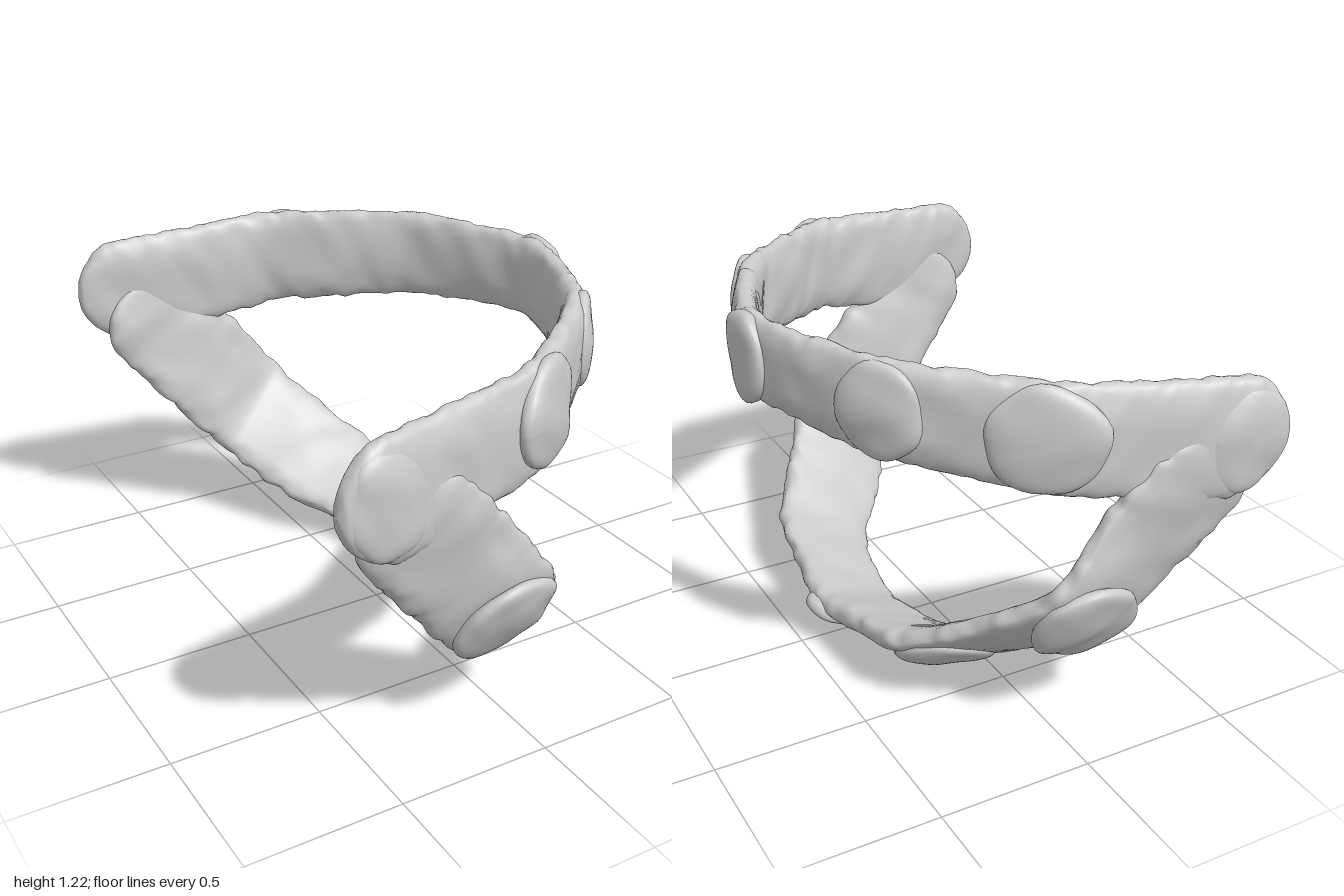
import * as THREE from 'three';

const V = (a) => new THREE.Vector3(...a);
const material = new THREE.MeshStandardMaterial({ color: 0xcccccc, side: THREE.DoubleSide });

// Gentle hand-moulded unevenness, -1..1
const lump = (p) =>
  (Math.sin(p.x * 23 + 2 * Math.sin(p.y * 19)) + Math.sin(p.y * 27 + 2 * Math.sin(p.z * 17 + 1)) +
    Math.sin(p.z * 25 + 2 * Math.sin(p.x * 21 + p.y * 13))) / 3;

// Half a band: [centre, half-width vector]; the last entry lies on the z = 0 mirror plane
const UPPER = [
  [[-0.675, 0.945, 0.95], [0, 0.17, 0]],
  [[-0.47, 0.945, 0.925], [-0.04, 0.19, 0]],
  [[-0.2, 0.98, 0.875], [-0.02, 0.178, 0]],
  [[0.02, 1.015, 0.825], [-0.01, 0.17, 0]],
  [[0.2, 1.035, 0.69], [0, 0.163, 0]],
  [[0.415, 1.06, 0.49], [0, 0.152, 0]],
  [[0.535, 1.075, 0.25], [0, 0.14, 0]],
  [[0.605, 1.08, 0], [0, 0.135, 0]],
];
const LOWER = [
  [[-0.53, 0.94, 0.91], [0.13, 0.12, 0.02]],
  [[-0.4, 0.82, 0.905], [0.14, 0.125, 0.01]],
  [[-0.25, 0.65, 0.867], [0.145, 0.13, 0.02]],
  [[-0.065, 0.42, 0.825], [0.135, 0.125, 0.06]],
  [[0.09, 0.262, 0.61], [0.15, 0.1, 0.055]],
  [[0.225, 0.17, 0.42], [0.15, 0.065, 0.035]],
  [[0.275, 0.128, 0.2], [0.14, 0.05, 0.01]],
  [[0.295, 0.1, 0], [0.145, 0.05, 0]],
];

// Centre, half-width and outward normal anywhere along a band
function makeTrack(half) {
  const flip = ([x, y, z]) => [x, y, -z];
  const all = [...half, ...half.slice(0, -1).reverse().map((s) => s.map(flip))];
  const curve = (k) => new THREE.CatmullRomCurve3(all.map((s) => V(s[k])), false, 'catmullrom', 0.4);
  const path = curve(0), width = curve(1);
  return (t) => {
    const centre = path.getPoint(t), w = width.getPoint(t);
    const normal = path.getTangent(t).cross(w).normalize();
    return { centre, w, normal };
  };
}

// Flat, soft-edged strap with rounded ends
function band(track, thickness, name) {
  const N = 280, M = 32, R = 0.17, pos = [], idx = [];
  const start = track(0).centre, end = track(1).centre;
  for (let i = 0; i <= N; i++) {
    const { centre, w, normal } = track(i / N);
    const d = Math.min(centre.distanceTo(start), centre.distanceTo(end), R) / R;
    const f = Math.sqrt(Math.max(0, 1 - (1 - d) ** 2));
    for (let j = 0; j < M; j++) {
      const a = (j / M) * Math.PI * 2, c = Math.cos(a), s = Math.sin(a);
      const across = Math.sign(c) * Math.abs(c) ** 0.75 * f;
      const up = Math.sign(s) * Math.abs(s) ** 0.75 * thickness * Math.sqrt(f);
      const p = centre.clone().addScaledVector(w, across).addScaledVector(normal, up);
      p.addScaledVector(normal, 0.007 * lump(p) * s * Math.sqrt(f));
      p.addScaledVector(w, 0.05 * c * f * lump(p.clone().multiplyScalar(2.3)));
      pos.push(p.x, p.y, p.z);
      if (i < N) {
        const q = i * M + j, r = i * M + ((j + 1) % M);
        idx.push(q, r, q + M, r, r + M, q + M);
      }
    }
  }
  const g = new THREE.BufferGeometry();
  g.setAttribute('position', new THREE.Float32BufferAttribute(pos, 3));
  g.setIndex(idx);
  g.computeVertexNormals();
  const mesh = new THREE.Mesh(g, material);
  mesh.name = name;
  return mesh;
}

// Flattened round pad pressed on the outside of a band
function pad(track, t, along, across, lift, name) {
  const { centre, w, normal } = track(t);
  const wide = w.clone().normalize(), run = wide.clone().cross(normal);
  const g = new THREE.SphereGeometry(1, 40, 24), p = g.attributes.position;
  for (let i = 0; i < p.count; i++) {
    const v = new THREE.Vector3().fromBufferAttribute(p, i);
    const h = Math.sign(v.y) * Math.abs(v.y) ** 0.8 * 0.045;
    const q = centre.clone().addScaledVector(normal, lift + h)
      .addScaledVector(run, v.x * along).addScaledVector(wide, v.z * across);
    const n = lump(q);
    q.addScaledVector(normal, 0.006 * n)
      .addScaledVector(run, 0.01 * n * v.x).addScaledVector(wide, 0.01 * n * v.z);
    p.setXYZ(i, q.x, q.y, q.z);
  }
  g.computeVertexNormals();
  const mesh = new THREE.Mesh(g, material);
  mesh.name = name;
  return mesh;
}

export function createModel() {
  const model = new THREE.Group();
  model.name = 'strapFrame';
  const upper = makeTrack(UPPER), lower = makeTrack(LOWER);
  model.add(band(upper, 0.045, 'upperBand'), band(lower, 0.048, 'lowerBand'));

  // Centre pads
  model.add(pad(upper, 0.5, 0.125, 0.145, 0.025, 'upperFrontPad'));
  model.add(pad(lower, 0.5, 0.12, 0.185, 0.025, 'lowerFrontPad'));

  // Paired side pads
  for (const [side, at] of [['left', (t) => t], ['right', (t) => 1 - t]]) {
    model.add(pad(upper, at(0.75 / 14), 0.14, 0.165, 0.012, side + 'CornerPad'));
    model.add(pad(upper, at(3.25 / 14), 0.18, 0.165, 0.022, side + 'UpperSidePad'));
    model.add(pad(upper, at(5 / 14), 0.14, 0.15, 0.02, side + 'UpperInnerPad'));
    model.add(pad(lower, at(3 / 14), 0.17, 0.18, 0.035, side + 'LowerSidePad'));
    model.add(pad(lower, at(4.75 / 14), 0.16, 0.16, 0.03, side + 'LowerInnerPad'));
  }
  return model;
}
